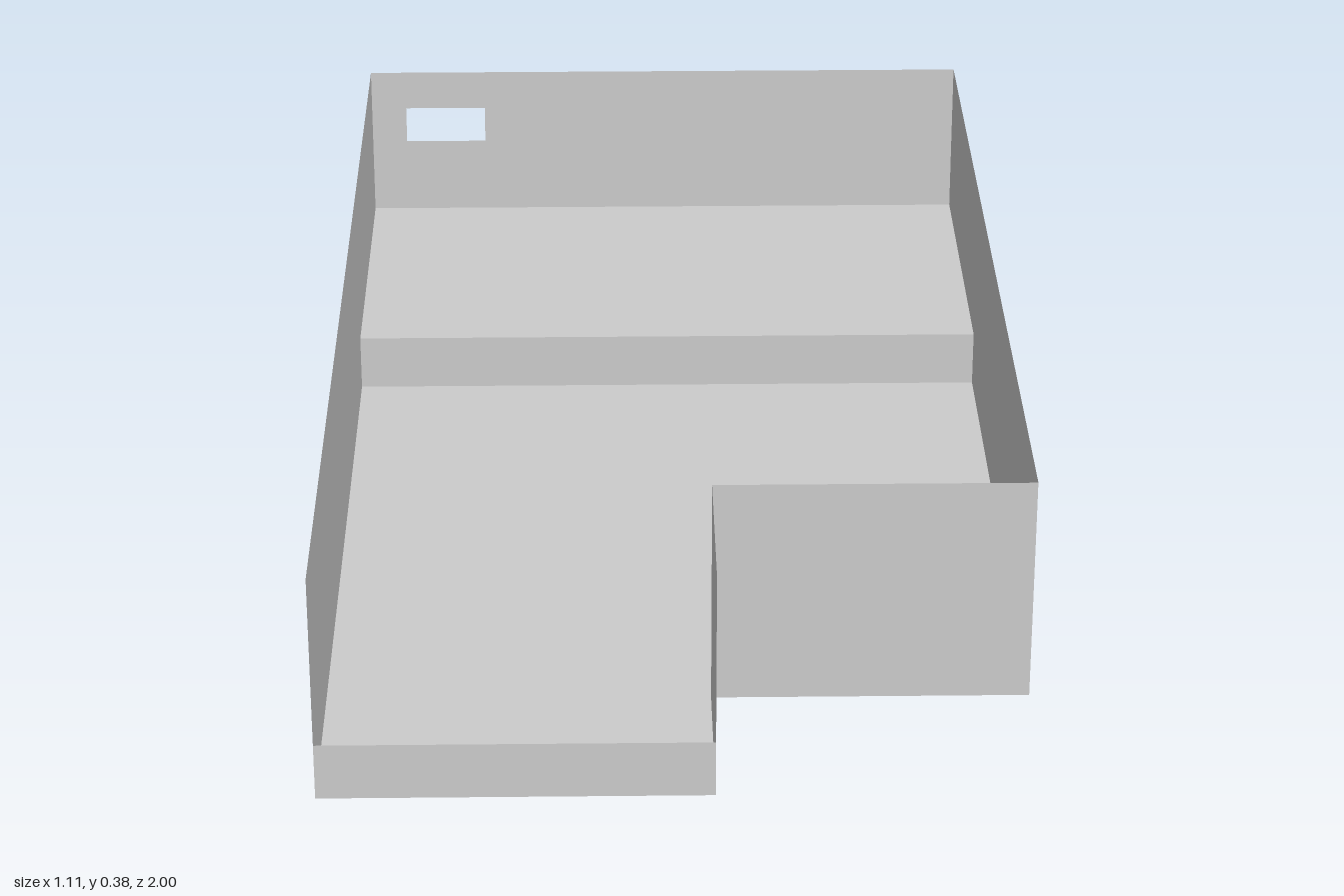
import * as THREE from 'three';

const X = 0.555, Z = 1, TOP = 0.378;   // outer half width, half length, wall height
const NOTCH_X = 0.052, NOTCH_Z = 0.708; // inner corner of the cut-out front corner
const STEP_Z = -0.415, STEP_Y = 0.097; // where the floor steps up
const LIP = 0.093;                     // height of the low front wall

const rect = (a, b, c, d) => [[a, b], [c, b], [c, d], [a, d]];
const toPoints = (list) => list.map(([x, y]) => new THREE.Vector2(x, y));

export function createModel() {
  const model = new THREE.Group();
  model.name = 'steppedTray';
  const material = new THREE.MeshStandardMaterial({
    color: 0xcccccc, flatShading: true, side: THREE.DoubleSide,
  });

  // Thin sheet from an outline, with an optional hole
  const sheet = (name, outline, hole) => {
    const shape = new THREE.Shape(toPoints(outline));
    if (hole) shape.holes.push(new THREE.Path(toPoints(hole)));
    const mesh = new THREE.Mesh(new THREE.ShapeGeometry(shape), material);
    mesh.name = name;
    model.add(mesh);
    return mesh;
  };
  // Outline in (x, y), facing front or back
  const across = (name, z, outline, hole) => {
    sheet(name, outline, hole).position.z = z;
  };
  // Outline in (z, y), facing sideways
  const along = (name, x, outline) => {
    const mesh = sheet(name, outline);
    mesh.geometry.rotateY(-Math.PI / 2);
    mesh.position.x = x;
  };
  // Outline in (x, z), lying flat
  const flat = (name, y, outline) => {
    const mesh = sheet(name, outline);
    mesh.geometry.rotateX(Math.PI / 2);
    mesh.position.y = y;
  };

  // Floors and the riser between them
  flat('lowerFloor', 0, [
    [-X, STEP_Z], [X, STEP_Z], [X, NOTCH_Z], [NOTCH_X, NOTCH_Z], [NOTCH_X, Z], [-X, Z],
  ]);
  flat('raisedFloor', STEP_Y, rect(-X, -Z, X, STEP_Z));
  across('floorRiser', STEP_Z, rect(-X, 0, X, STEP_Y));

  // Long side walls follow the floor step
  const sideWall = (front) => [
    [-Z, STEP_Y], [STEP_Z, STEP_Y], [STEP_Z, 0], [front, 0], [front, TOP], [-Z, TOP],
  ];
  along('rightWall', -X, sideWall(Z));
  along('leftWall', X, sideWall(NOTCH_Z));

  // Back wall with a rectangular opening
  across('backWall', -Z, rect(-X, STEP_Y, X, TOP), rect(-0.49, 0.237, -0.34, 0.305));

  // Low front wall and the two walls of the corner notch
  across('frontLip', Z, rect(-X, 0, NOTCH_X, LIP));
  along('notchSideWall', NOTCH_X, rect(NOTCH_Z, 0, Z, TOP));
  across('notchFrontWall', NOTCH_Z, rect(NOTCH_X, 0, X, TOP));

  return model;
}
